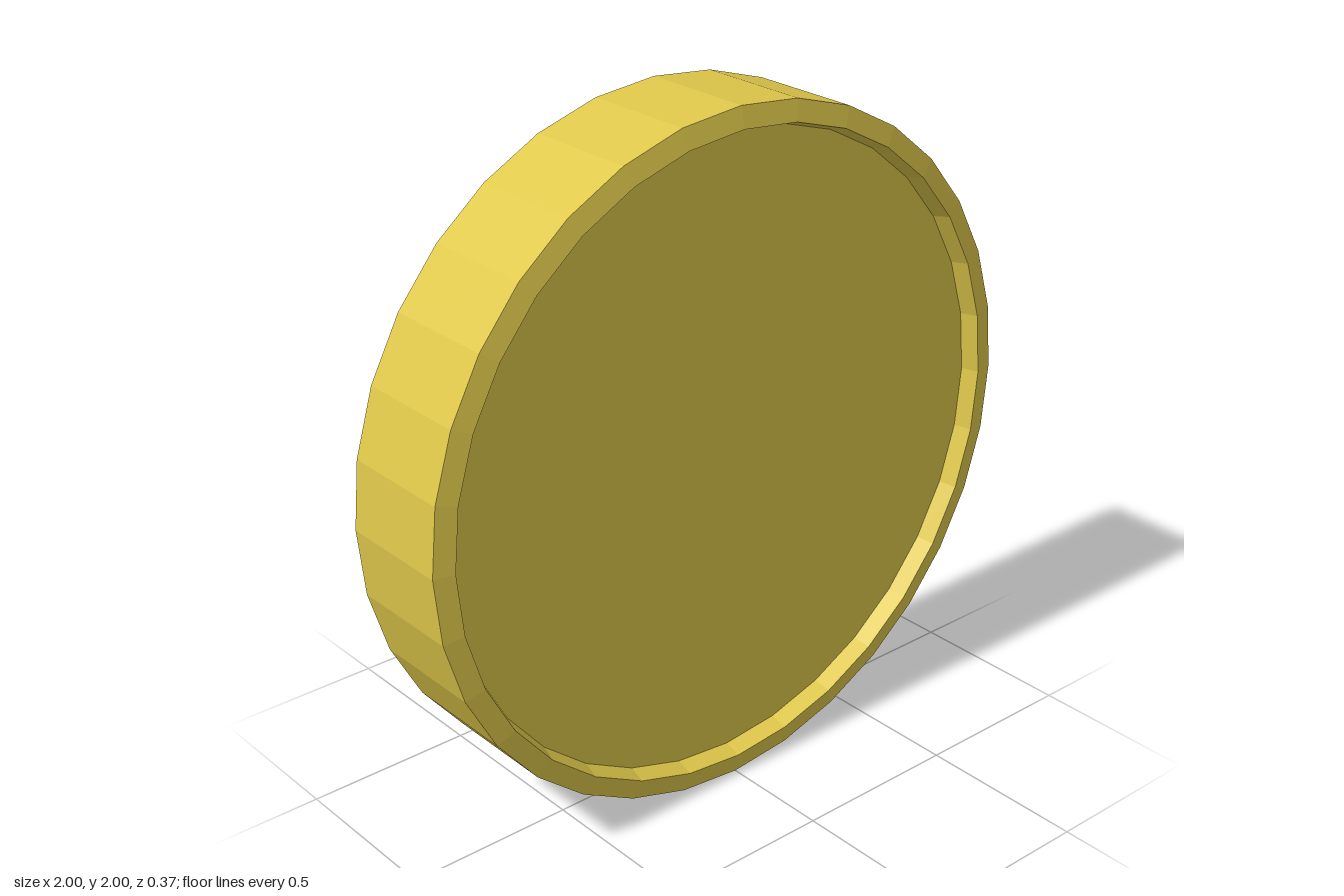
import * as THREE from 'three';

const SIDES = 32;

export function createModel() {
  const group = new THREE.Group();
  group.name = 'coin';
  const gold = new THREE.MeshStandardMaterial({ color: 0xdfc84b, flatShading: true });

  // Half profile [radius, distance from the middle plane]: face edge, recess wall, sloped rim
  const half = [[0.925, 0.133], [0.94, 0.185], [1, 0.172]];
  const back = half.map(([r, d]) => new THREE.Vector2(r, -d));
  const front = half.map(([r, d]) => new THREE.Vector2(r, d)).reverse();

  // Raised rim with the outer edge
  const rim = new THREE.Mesh(new THREE.LatheGeometry([...back, ...front], SIDES), gold);
  rim.name = 'rim';
  rim.rotation.x = Math.PI / 2;
  rim.position.y = 1;
  group.add(rim);

  // Flat recessed faces, front and back
  for (const s of [1, -1]) {
    const face = new THREE.Mesh(new THREE.CircleGeometry(half[0][0], SIDES), gold);
    face.name = s > 0 ? 'frontFace' : 'backFace';
    face.position.set(0, 1, s * half[0][1]);
    if (s < 0) face.rotation.y = Math.PI;
    group.add(face);
  }
  return group;
}
